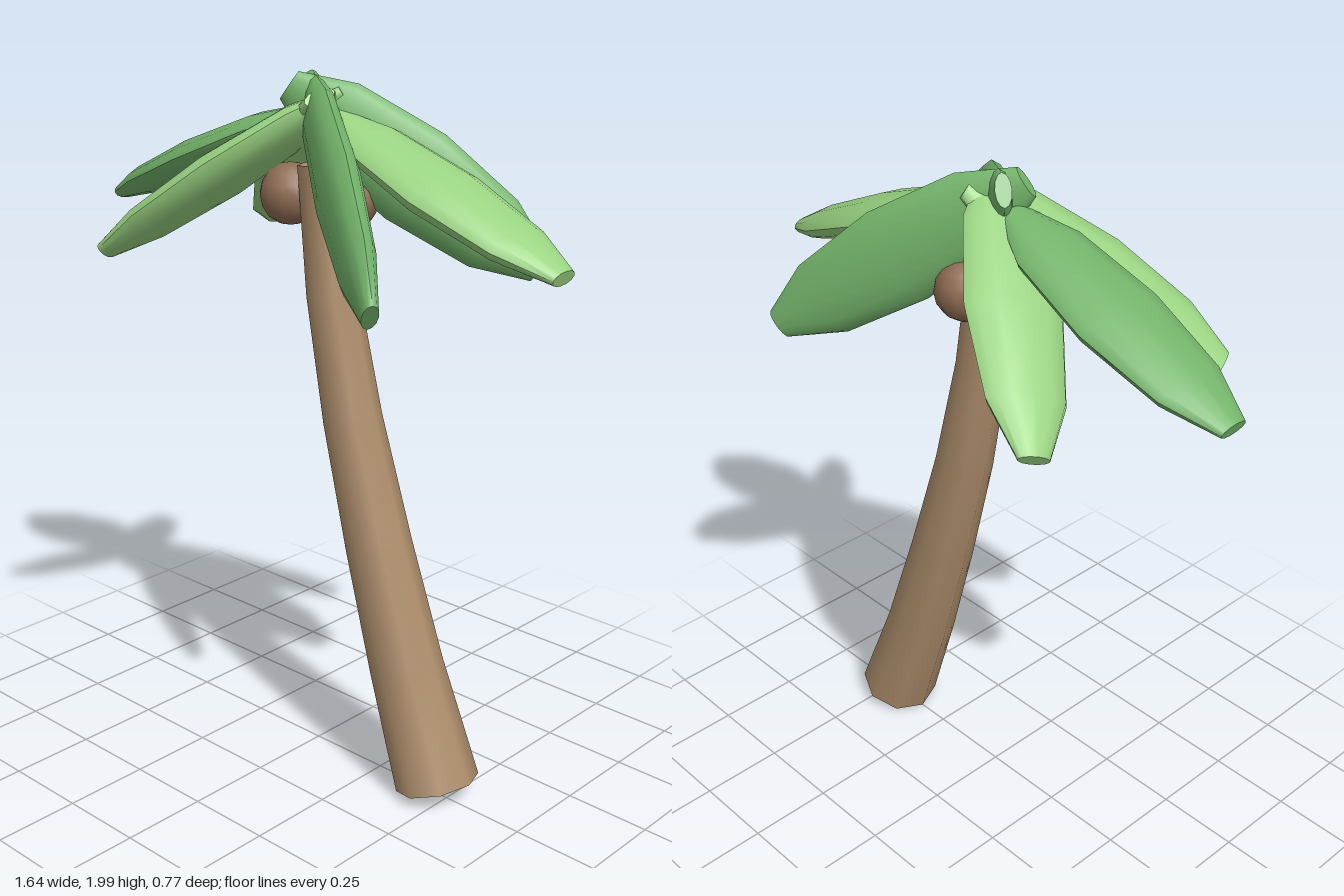
import * as THREE from 'three';
import { toCreasedNormals } from 'three/addons/utils/BufferGeometryUtils.js';

const material = (color) => new THREE.MeshStandardMaterial({ color });

// Eight-sided trunk: each ring of a cylinder is moved and tilted onto a curve
function trunkGeometry() {
  // [x, y, radius, tilt] from base to top
  const rings = [
    [0.465, 0.042, 0.12, 0.31], [0.342, 0.37, 0.105, 0.33], [0.232, 0.71, 0.094, 0.31],
    [0.13, 1.06, 0.083, 0.26], [0.053, 1.405, 0.073, 0.18], [0.008, 1.755, 0.064, 0.08],
  ];
  const geometry = new THREE.CylinderGeometry(1, 1, 1, 8, 5);
  const pos = geometry.attributes.position;
  for (let i = 0; i < pos.count; i++) {
    const [x, y, r, tilt] = rings[Math.round((pos.getY(i) + 0.5) * 5)];
    const side = pos.getX(i) * r;
    pos.setXYZ(i, x + side * Math.cos(tilt), y + side * Math.sin(tilt), pos.getZ(i) * r);
  }
  return toCreasedNormals(geometry, 0.9);
}

// Flattened spindle with blunt ends; x is width, y is length, z is thickness
function frondGeometry() {
  const profile = [[0.045, 0.022], [0.113, 0.046], [0.14, 0.056], [0.112, 0.045], [0.044, 0.022]];
  const heights = [0, 0.18, 0.5, 0.81, 1];
  const geometry = new THREE.CylinderGeometry(1, 1, 1, 12, 4);
  geometry.rotateY(Math.PI / 2);
  const pos = geometry.attributes.position;
  for (let i = 0; i < pos.count; i++) {
    const k = Math.round((pos.getY(i) + 0.5) * 4);
    const [w, t] = profile[k];
    pos.setXYZ(i, pos.getX(i) * w, heights[k], pos.getZ(i) * t);
  }
  return toCreasedNormals(geometry, 1.0);
}

export function createModel() {
  const palm = new THREE.Group();
  palm.name = 'palmTree';

  const trunk = new THREE.Mesh(trunkGeometry(), material(0xad8d6b));
  trunk.name = 'trunk';
  palm.add(trunk);

  // Coconuts below the crown
  const coconutMaterial = material(0x8f6d54);
  for (const p of [[-0.107, 1.66, 0], [0.05, 1.655, -0.06]]) {
    const coconut = new THREE.Mesh(new THREE.SphereGeometry(0.087, 12, 8), coconutMaterial);
    coconut.name = 'coconut';
    coconut.position.set(...p);
    palm.add(coconut);
  }

  // Fronds run from base to tip, with the flat width along the given direction
  const geometry = frondGeometry();
  const light = material(0x9ad382);
  const dark = material(0x74b46b);
  function addFrond(name, base, tip, width, mat) {
    const start = new THREE.Vector3(...base);
    const along = new THREE.Vector3(...tip).sub(start);
    const length = along.length();
    along.normalize();
    const across = new THREE.Vector3(...width).addScaledVector(along, -along.dot(new THREE.Vector3(...width))).normalize();
    const normal = new THREE.Vector3().crossVectors(across, along);
    const frond = new THREE.Mesh(geometry, mat);
    frond.name = name;
    frond.position.copy(start);
    frond.quaternion.setFromRotationMatrix(new THREE.Matrix4().makeBasis(across, along, normal));
    frond.scale.y = length;
    palm.add(frond);
  }
  addFrond('leftFrond', [0.06, 1.885, 0], [0.81, 1.575, 0], [0, 0, 1], light);
  addFrond('rightFrond', [-0.06, 1.885, 0], [-0.81, 1.575, 0], [0, 0, 1], dark);
  for (const s of [1, -1]) {
    const end = s > 0 ? 'front' : 'back';
    // Left pair stands on edge, right pair lies flatter
    addFrond(end + 'LeftFrond', [-0.07, 1.96, -0.04 * s], [0.495, 1.487, 0.345 * s], [0, 1, 0], dark);
    addFrond(end + 'RightFrond', [0.05, 1.94, -0.05 * s], [-0.495, 1.495, 0.345 * s], [0.33, 0.3, 0.9 * s], light);
  }
  return palm;
}
